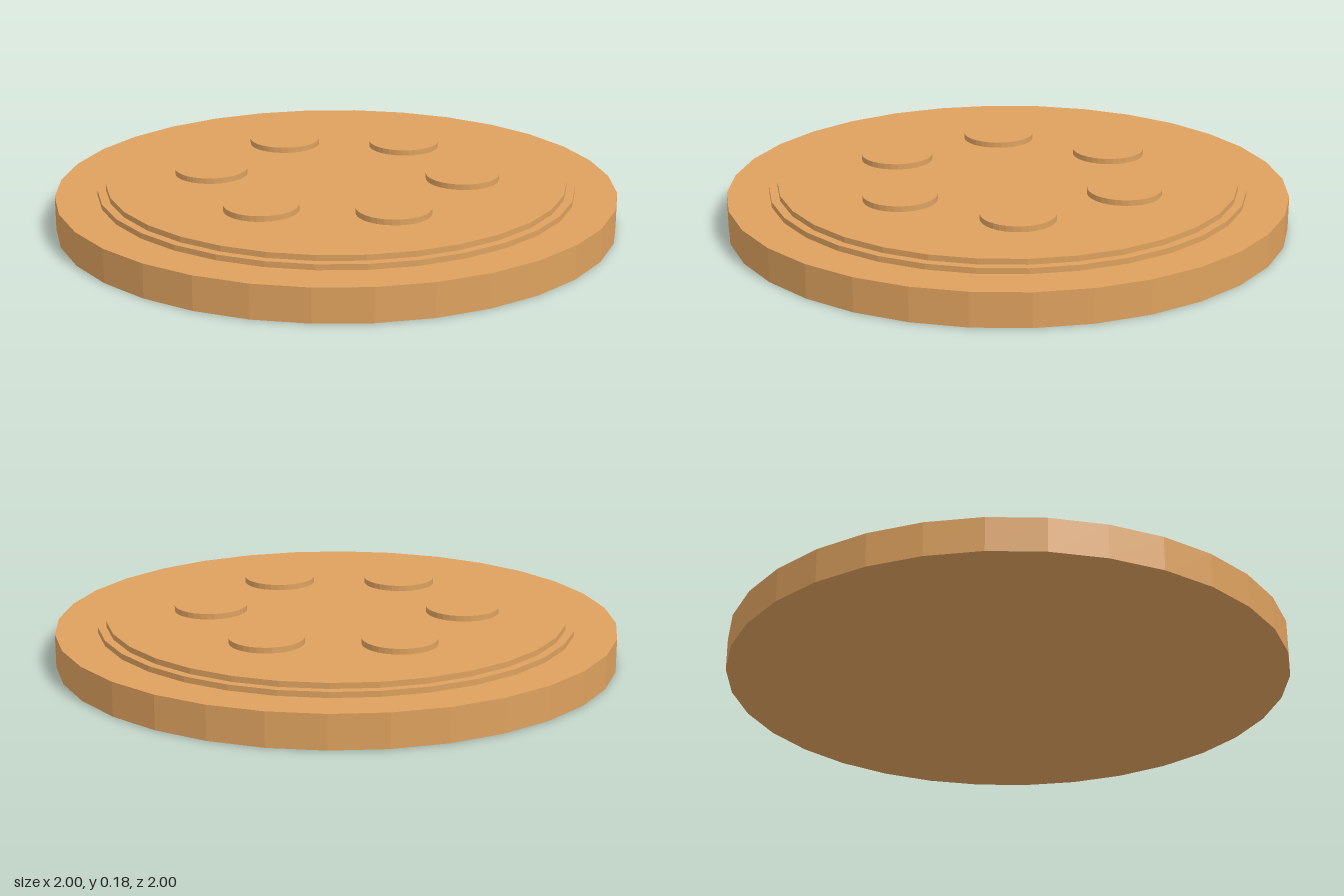
import * as THREE from 'three';

const material = new THREE.MeshStandardMaterial({ color: 0xdda15e, flatShading: true });

// Upright faceted disc standing between two heights
function disc(name, radius, bottom, top, x = 0, z = 0) {
  const geometry = new THREE.CylinderGeometry(radius, radius, top - bottom, 32);
  const mesh = new THREE.Mesh(geometry, material);
  mesh.name = name;
  mesh.position.set(x, (bottom + top) / 2, z);
  return mesh;
}

export function createModel() {
  const model = new THREE.Group();
  model.name = 'steppedDisc';

  // Stacked round body: wide base, thin step, raised top plate
  model.add(disc('base', 1, 0, 0.12));
  model.add(disc('step', 0.85, 0.12, 0.14));
  model.add(disc('topPlate', 0.82, 0.14, 0.16));

  // Ring of six round studs
  const studs = new THREE.Group();
  studs.name = 'studs';
  for (let i = 0; i < 6; i++) {
    const a = (i * Math.PI) / 3;
    studs.add(disc('stud', 0.13, 0.16, 0.18, 0.45 * Math.cos(a), 0.45 * Math.sin(a)));
  }
  model.add(studs);

  return model;
}
